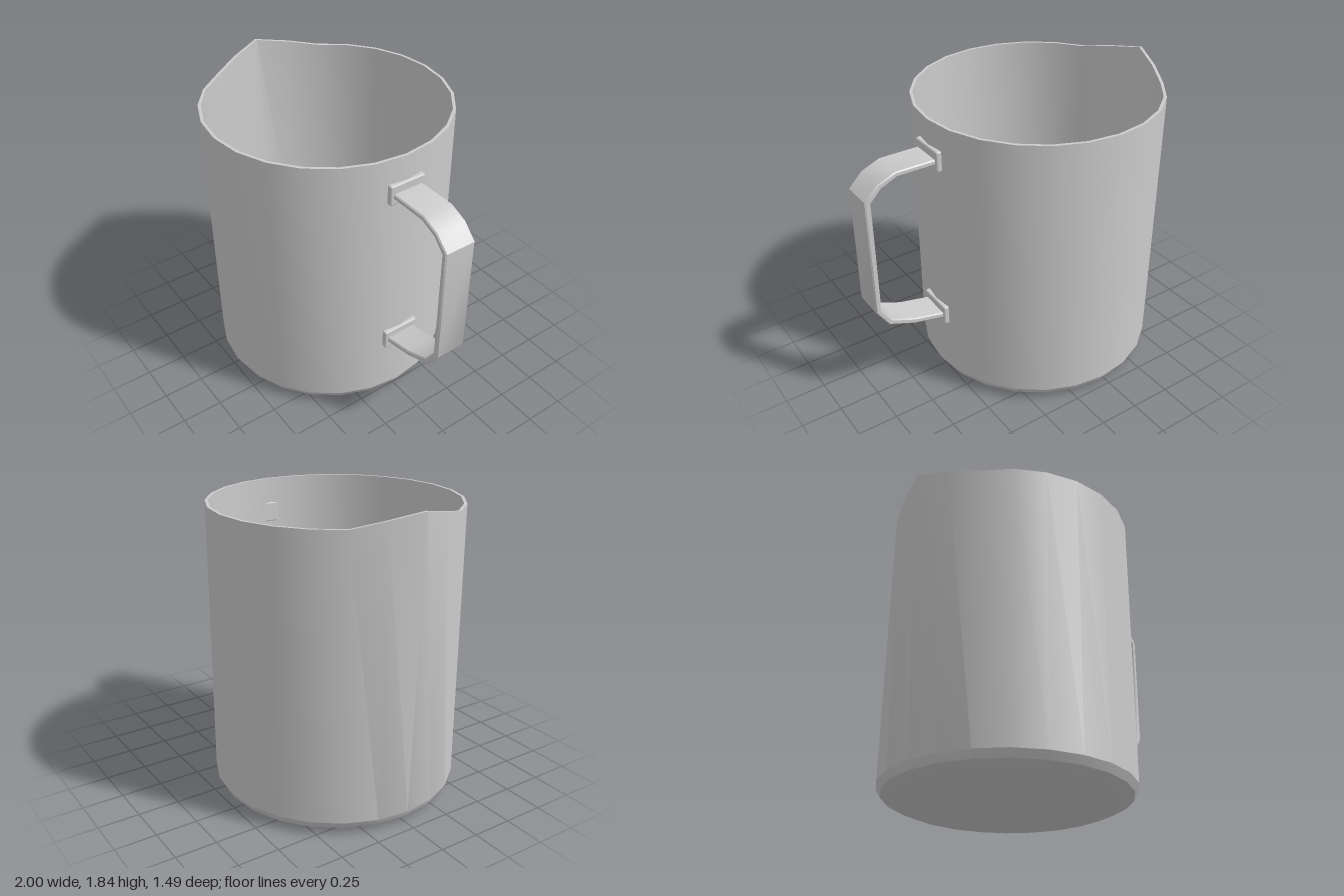
import * as THREE from 'three';
import { toCreasedNormals } from 'three/addons/utils/BufferGeometryUtils.js';
import { RoundedBoxGeometry } from 'three/addons/geometries/RoundedBoxGeometry.js';

const material = new THREE.MeshStandardMaterial({ color: 0xcccccc });
const points = list => list.map(([x, y]) => new THREE.Vector2(x, y));

function addPart(group, name, geometry) {
  const mesh = new THREE.Mesh(geometry, material);
  mesh.name = name;
  group.add(mesh);
  return mesh;
}

// Thin-walled vessel: outside profile up to the rim, then down the inside
function vesselGeometry() {
  const geometry = new THREE.LatheGeometry(points([
    [0, 0], [0.64, 0], [0.72, 0.035], [0.745, 0.08], [0.745, 1.765],
    [0.727, 1.765], [0.727, 0.08], [0.675, 0.035], [0, 0.035],
  ]), 24);

  // Pull the rim out and up around -x to form the pouring lip
  const position = geometry.attributes.position;
  for (let i = 0; i < position.count; i++) {
    const x = position.getX(i), y = position.getY(i), z = position.getZ(i);
    if (y < 1) continue;
    const angle = Math.abs(Math.atan2(z, -x));
    const weight = Math.max(0, 1 - angle / (Math.PI / 6));
    const push = 1 + 0.074 * weight * weight;
    position.setXYZ(i, x * push, y + 0.075 * weight, z * push);
  }
  return toCreasedNormals(geometry, 0.5);
}

// Flat strap bent into a handle, with slightly bevelled edges
function handleGeometry() {
  const outer = [
    [0.545, 1.56], [0.8, 1.56], [0.91, 1.515], [0.995, 1.43],
    [0.995, 0.69], [0.92, 0.573], [0.755, 0.508], [0.545, 0.463],
  ];
  const inner = [
    [0.545, 0.498], [0.748, 0.542], [0.895, 0.602], [0.96, 0.7],
    [0.96, 1.415], [0.892, 1.485], [0.793, 1.527], [0.545, 1.527],
  ];
  const bevel = 0.007;
  const geometry = new THREE.ExtrudeGeometry(new THREE.Shape(points([...outer, ...inner])), {
    depth: 0.2 - 2 * bevel,
    bevelSize: bevel, bevelThickness: bevel, bevelOffset: -bevel, bevelSegments: 1,
  });
  geometry.translate(0, 0, bevel - 0.1);
  return toCreasedNormals(geometry, 0.75);
}

export function createModel() {
  const group = new THREE.Group();
  group.name = 'pitcher';

  addPart(group, 'vessel', vesselGeometry()).position.x = -0.2;
  addPart(group, 'handle', handleGeometry());

  // Mounting plates where the handle meets the wall
  for (const [name, y] of [['upperPlate', 1.548], ['lowerPlate', 0.483]]) {
    const plate = addPart(group, name, new RoundedBoxGeometry(0.04, 0.126, 0.236, 1, 0.01));
    plate.position.set(0.54, y, 0);
  }
  return group;
}
